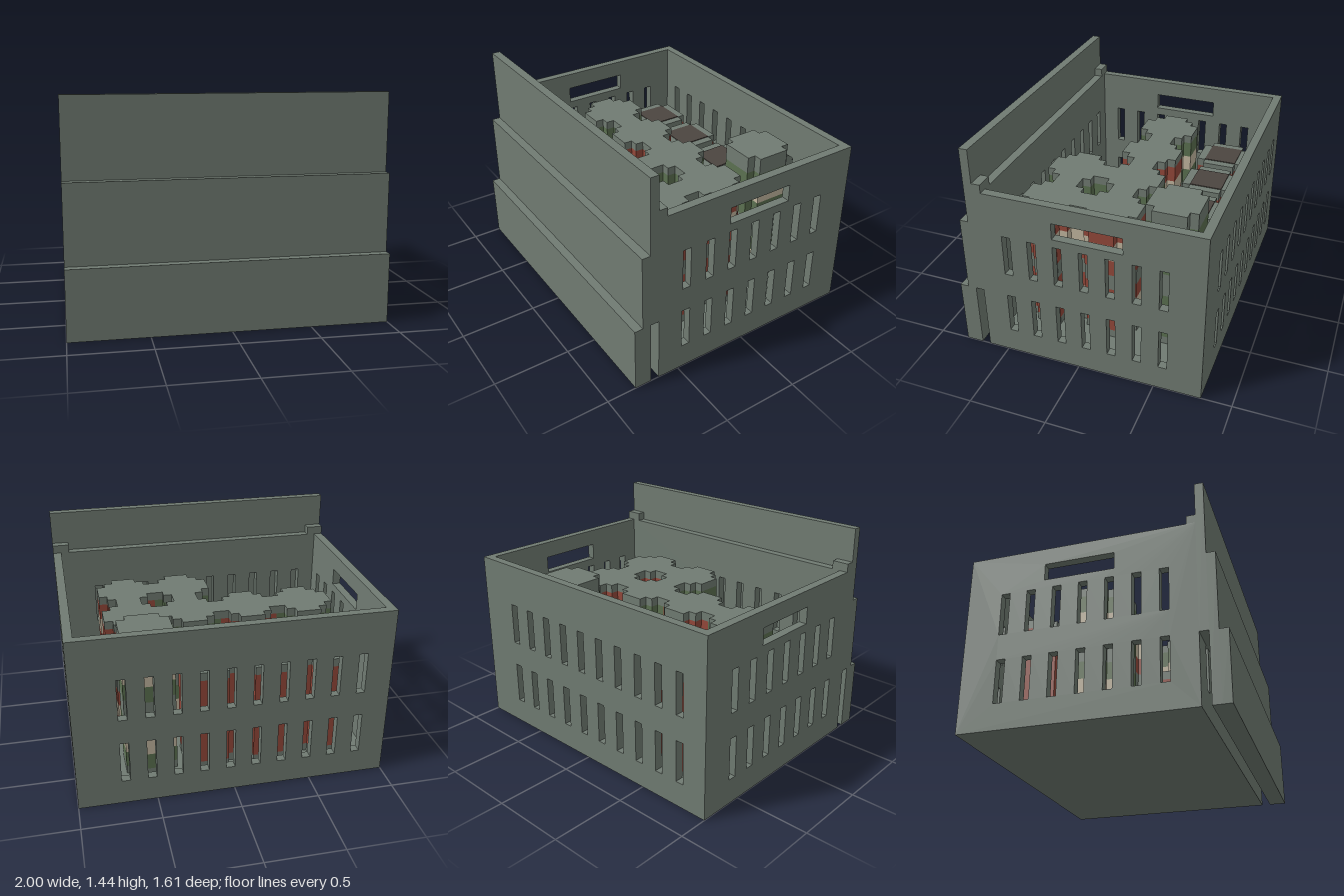
import * as THREE from 'three';

const mat = (name, color) => {
  const m = new THREE.MeshStandardMaterial({ color });
  m.name = name;
  return m;
};

// All sizes below are in blocks; the whole group is scaled to 1/18 unit per block.
export function createModel() {
  const grey = mat('grey green', 0x707b72);
  const red = mat('red label', 0x94483a);
  const green = mat('green label', 0x5b7050);
  const beige = mat('beige band', 0xc2b69f);
  const brown = mat('brown', 0x4c4540);

  const model = new THREE.Group();
  model.name = 'crateOfCans';
  const U = 1 / 18;
  model.scale.setScalar(U);

  const add = (parent, name, geometry, material, x = 0, y = 0, z = 0) => {
    const mesh = new THREE.Mesh(geometry, material);
    mesh.name = name;
    mesh.position.set(x, y, z);
    parent.add(mesh);
    return mesh;
  };
  // Box given by its minimum and maximum corners
  const block = (name, material, x0, x1, y0, y1, z0, z1) =>
    add(model, name, new THREE.BoxGeometry(x1 - x0, y1 - y0, z1 - z0), material,
      (x0 + x1) / 2, (y0 + y1) / 2, (z0 + z1) / 2);

  // Rectangle outline, used for panels and for their holes
  const rect = (Type, x0, x1, y0, y1) => {
    const s = new Type();
    s.moveTo(x0, y0);
    s.lineTo(x1, y0);
    s.lineTo(x1, y1);
    s.lineTo(x0, y1);
    s.closePath();
    return s;
  };
  // One-block-thick panel with two rows of slots and optional handle opening
  const panel = (a0, a1, slots, handle) => {
    const s = rect(THREE.Shape, a0, a1, 0, 21);
    for (const c of slots)
      for (const y of [3, 11]) s.holes.push(rect(THREE.Path, c - 0.5, c + 0.5, y, y + 5));
    if (handle) s.holes.push(rect(THREE.Path, -5.5, 2.5, 17, 19));
    return new THREE.ExtrudeGeometry(s, { depth: 1, bevelEnabled: false });
  };

  // Crate walls and floor
  const longSlots = Array.from({ length: 10 }, (_, i) => 12.5 - 3 * i);
  const sideSlots = Array.from({ length: 7 }, (_, i) => 8 - 3 * i);
  const sideGeo = panel(-14.5, 11.5, sideSlots, true).rotateY(-Math.PI / 2);
  const longGeo = panel(-17, 17, longSlots, false);
  add(model, 'leftWall', sideGeo, grey, 18);
  add(model, 'rightWall', sideGeo, grey, -17);
  add(model, 'backWall', longGeo, grey, 0, 0, -14.5);
  add(model, 'frontWall', longGeo, grey, 0, 0, 10.5);
  block('floor', grey, -17, 17, 0, 1, -13.5, 10.5);

  // Corner knobs and overlapping front planks
  block('leftKnob', grey, 16, 18, 21, 22, 10.5, 11.5);
  block('rightKnob', grey, -18, -16, 21, 22, 10.5, 11.5);
  block('upperPlank', grey, -18, 18, 8, 26, 11.5, 12.5);
  block('middlePlank', grey, -18, 18, 0, 17, 12.5, 13.5);
  block('lowerPlank', grey, -18, 18, 0, 8, 13.5, 14.5);

  // Stepped round outline mirrored from one quarter
  const steppedShape = (quarter) => {
    const back = quarter.slice().reverse();
    const pts = [
      ...quarter,
      ...back.map(([x, y]) => [-x, y]),
      ...quarter.map(([x, y]) => [-x, -y]),
      ...back.map(([x, y]) => [x, -y]),
    ];
    return new THREE.Shape(pts.map(([x, y]) => new THREE.Vector2(x, y)));
  };
  const wide = steppedShape([[3.5, 1.5], [2.5, 1.5], [2.5, 2.5], [1.5, 2.5], [1.5, 3.5]]);
  const narrow = steppedShape([[3, 2], [2, 2], [2, 3]]);

  // A can is a stack of bands: [name, material, height]
  const can = (name, shape, bands, x, y, z) => {
    const g = new THREE.Group();
    g.name = name;
    g.position.set(x, y, z);
    let h = 0;
    for (const [part, material, height] of bands) {
      const geo = new THREE.ExtrudeGeometry(shape, { depth: height, bevelEnabled: false });
      add(g, part, geo.rotateX(-Math.PI / 2), material, 0, h, 0);
      h += height;
    }
    model.add(g);
    return g;
  };
  const canBands = (label, lid) => [
    ['canBase', grey, 1],
    ['lowerLabel', label, 2],
    ['labelBand', beige, 2],
    ['upperLabel', label, 2],
    ['canLid', grey, lid],
  ];

  // Wide cans in two rows, stacked two high apart from one single
  [9.5, 2.5, -4.5, -11.5].forEach((x, i) => {
    const label = i % 2 ? green : red;
    for (const z of [-1, 6]) {
      if (x === -11.5 && z === 6) continue;
      const layers = x === -4.5 && z === 6 ? 1 : 2;
      for (let k = 0; k < layers; k++) can('wideCan', wide, canBands(label, 1), x, 1 + 8 * k, z);
    }
  });

  // Tall narrow green cans
  for (const y of [1, 10]) can('narrowCan', narrow, canBands(green, 2), 9, y, -8.5);

  // Jars with a brown square top
  for (const x of [-12, -5, 2]) {
    const jar = can('jar', narrow, [['jarBase', grey, 1], ['jarLabel', red, 11], ['jarRim', grey, 1]], x, 1, -8.5);
    add(jar, 'jarTop', new THREE.BoxGeometry(4, 0.1, 4), brown, 0, 13.05, 0);
  }

  const root = new THREE.Group();
  root.name = 'model';
  root.add(model);
  return root;
}
